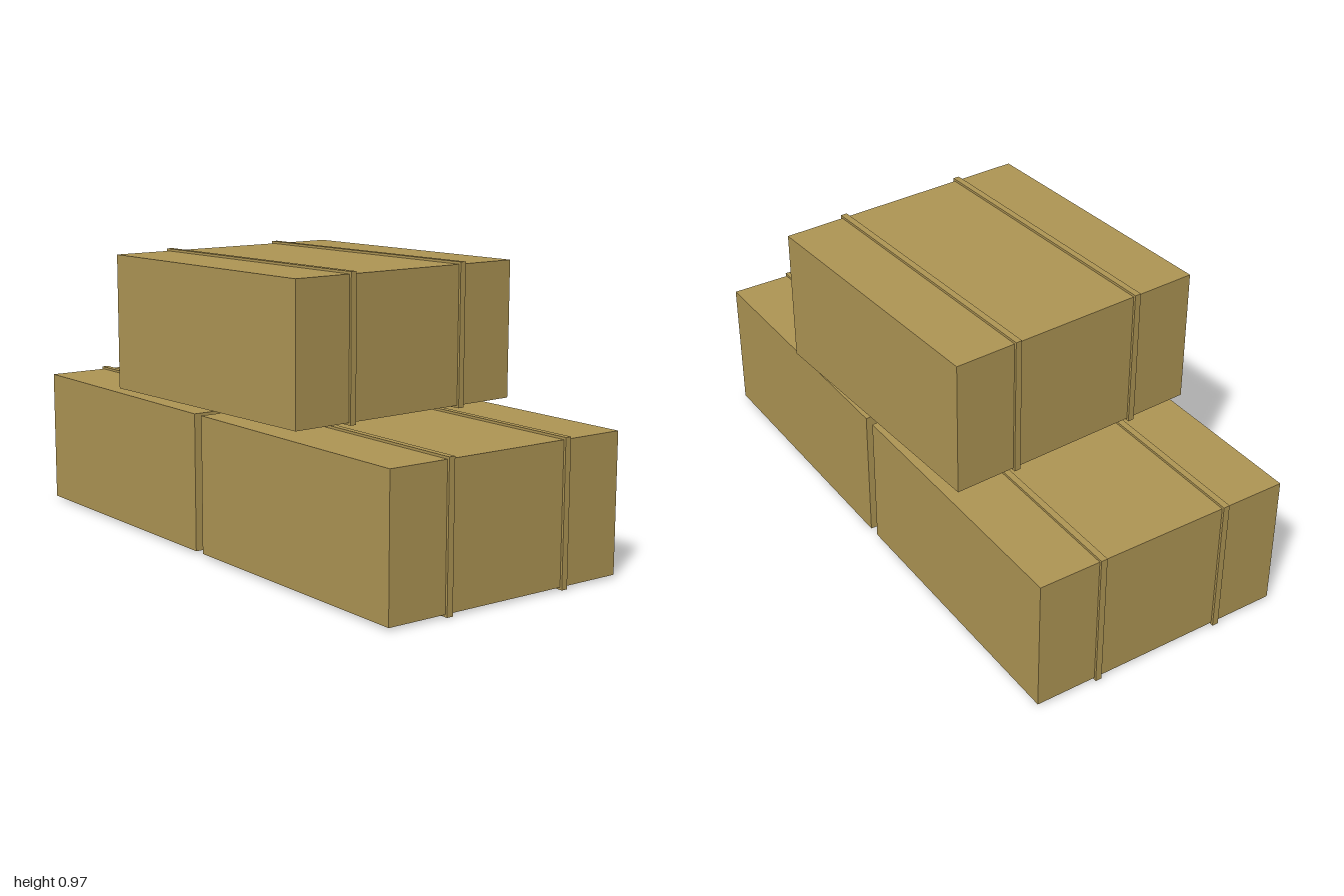
import * as THREE from 'three';

const WIDTH = 0.972, HEIGHT = 0.463, DEPTH = 0.91;
const STRAP_OUT = 0.008, STRAP_WIDTH = 0.022, STRAP_Z = 0.232;

export function createModel() {
  const straw = new THREE.MeshStandardMaterial({ color: 0xae9554 });
  straw.name = 'straw';

  const bodyGeometry = new THREE.BoxGeometry(WIDTH, HEIGHT, DEPTH);
  const strapGeometry = new THREE.BoxGeometry(
    WIDTH + 2 * STRAP_OUT, HEIGHT + 2 * STRAP_OUT, STRAP_WIDTH);

  // One bale: a block bound by two straps that stand slightly proud
  function makeBale(name, x, y, turn = 0) {
    const bale = new THREE.Group();
    bale.name = name;
    const body = new THREE.Mesh(bodyGeometry, straw);
    body.name = 'baleBody';
    bale.add(body);
    for (const side of [1, -1]) {
      const strap = new THREE.Mesh(strapGeometry, straw);
      strap.name = side > 0 ? 'frontStrap' : 'backStrap';
      strap.position.z = side * STRAP_Z;
      bale.add(strap);
    }
    bale.position.set(x, y, 0);
    bale.rotation.y = turn;
    return bale;
  }

  // Two bales side by side, with a third resting askew on top
  const model = new THREE.Group();
  model.name = 'baleStack';
  model.add(
    makeBale('leftBale', 0.506, 0.2395),
    makeBale('rightBale', -0.506, 0.2395),
    makeBale('topBale', 0, 0.727, 0.05),
  );
  return model;
}
